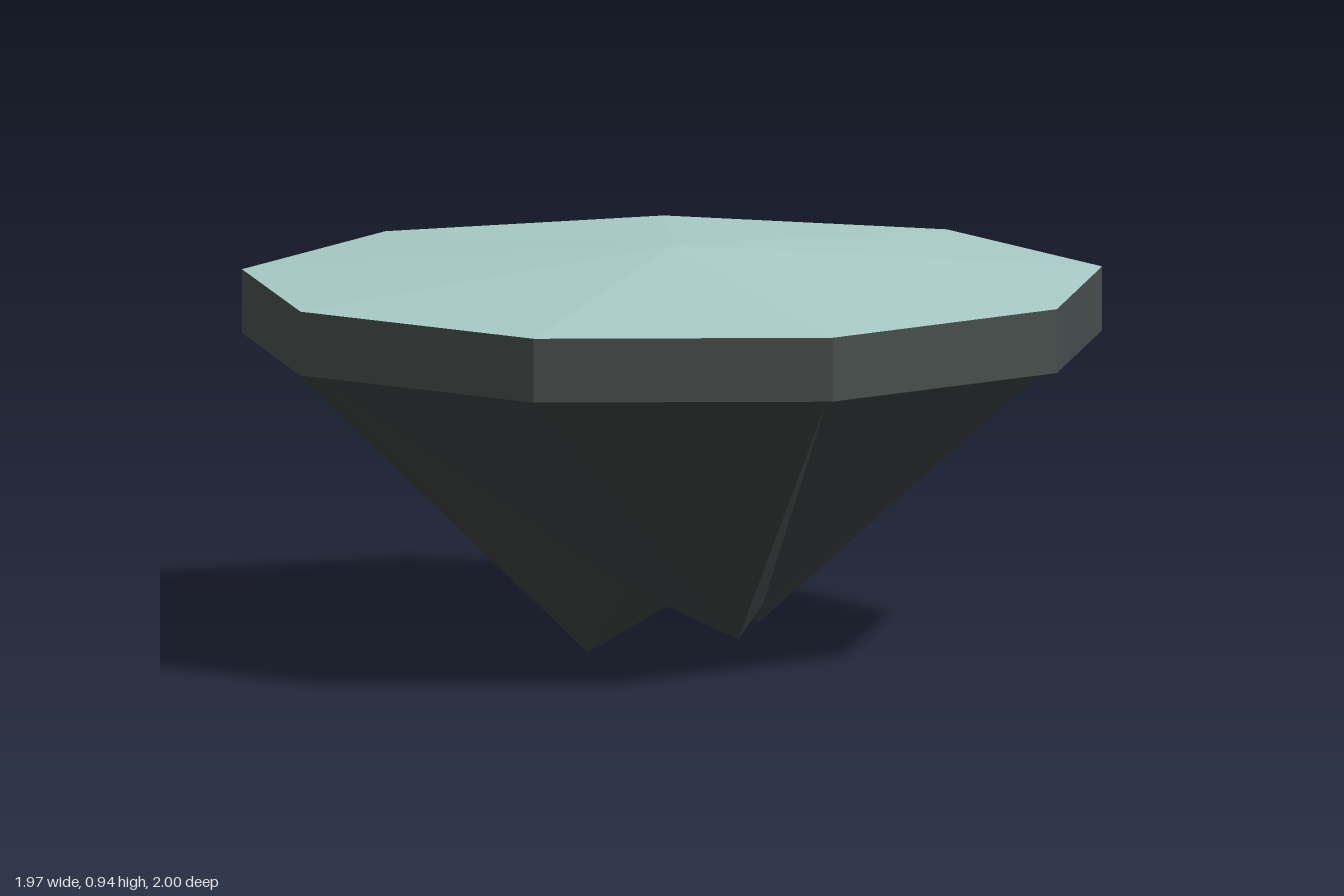
import * as THREE from 'three';

export function createModel() {
  const group = new THREE.Group();
  const SIDES = 9, R = 1.015, CX = -0.03;

  const material = (name, color) => {
    const m = new THREE.MeshStandardMaterial({ color, flatShading: true });
    m.name = name;
    return m;
  };
  const paleTop = material('pale teal', 0xa8cbc6);
  const rimGrey = material('slate grey', 0x474e4c);
  const rockGrey = material('dark rock', 0x3c4041);

  const add = (name, geometry, mat, y = 0, x = CX) => {
    const mesh = new THREE.Mesh(geometry, mat);
    mesh.name = name;
    mesh.position.set(x, y, 0);
    group.add(mesh);
  };

  // Shallow pitched top surface, one corner pointing to +x
  add('topSurface', new THREE.ConeGeometry(R, 0.08, SIDES, 1, true, Math.PI / 2), paleTop, 0.9);

  // Straight-sided rim slab
  add('rim', new THREE.CylinderGeometry(R, R, 0.15, SIDES, 1, false, Math.PI / 2), rimGrey, 0.785);

  // Ragged rock below: regular upper ring tapering to uneven broken corners
  const lower = [
    [0.19, 0.17, 0.05], [0.17, 0.1, 0.06], [0.08, 0.04, 0.21],
    [-0.18, 0.17, 0.24], [-0.25, 0, 0.08], [-0.26, 0.17, -0.13],
    [-0.05, 0.05, -0.2], [-0.01, 0.05, -0.29], [0.2, 0.03, -0.13],
  ];
  const upper = lower.map((_, i) => {
    const a = (i / SIDES) * Math.PI * 2;
    return [CX + 0.985 * Math.cos(a), 0.712, 0.985 * Math.sin(a)];
  });
  const core = [CX, 0.1, 0];
  const corners = [];
  for (let i = 0; i < SIDES; i++) {
    const j = (i + 1) % SIDES;
    corners.push(upper[i], upper[j], lower[i]); // side
    corners.push(upper[j], lower[j], lower[i]);
    corners.push(lower[i], lower[j], core); // broken underside
  }
  const rock = new THREE.BufferGeometry();
  rock.setAttribute('position', new THREE.Float32BufferAttribute(corners.flat(), 3));
  rock.computeVertexNormals();
  add('rockUnderside', rock, rockGrey, 0, 0);

  return group;
}
